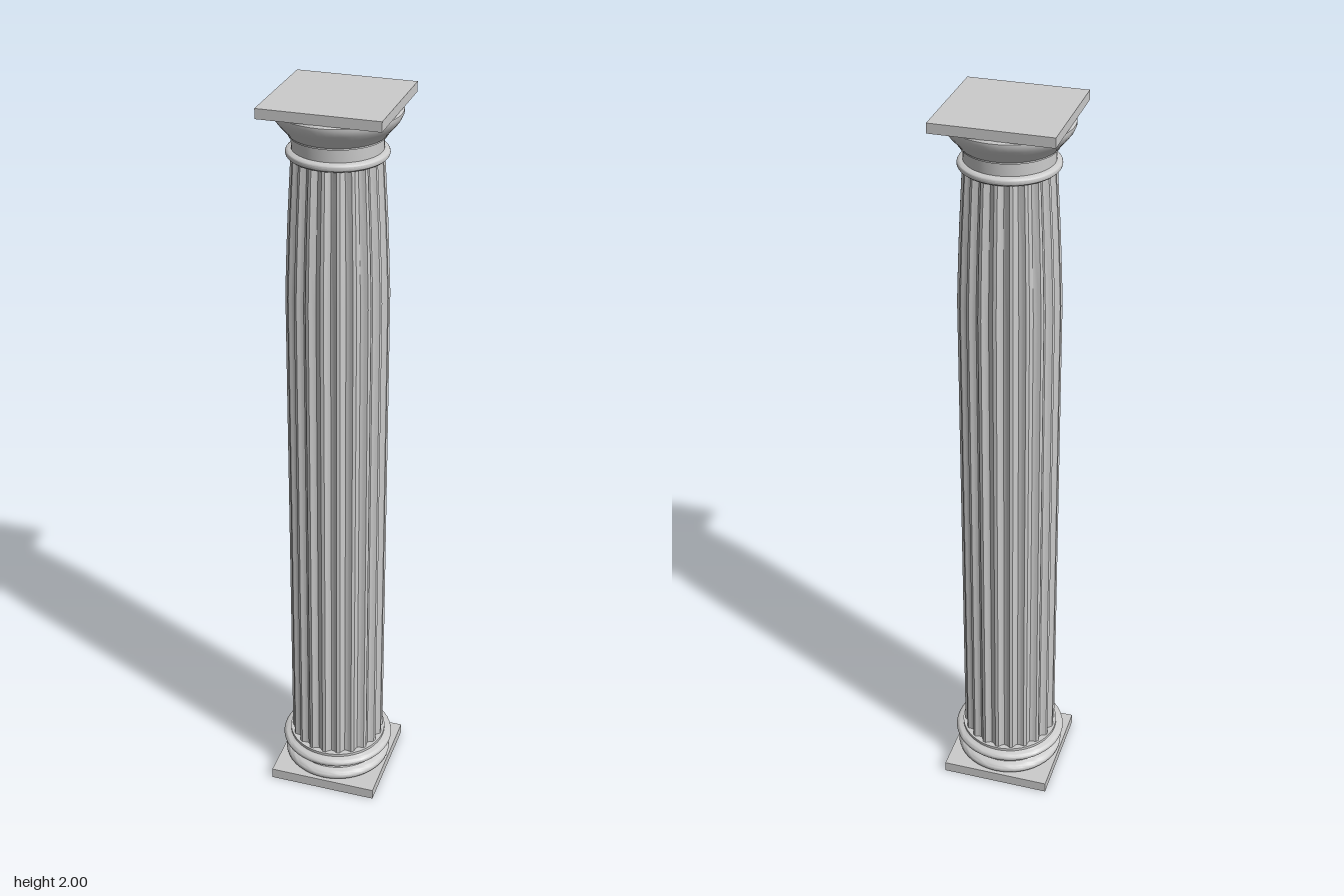
import * as THREE from 'three';
import { toCreasedNormals } from 'three/addons/utils/BufferGeometryUtils.js';

const material = new THREE.MeshStandardMaterial({ color: 0xcccccc });

function add(group, name, geometry, y = 0) {
  const mesh = new THREE.Mesh(geometry, material);
  mesh.name = name;
  mesh.position.y = y;
  group.add(mesh);
}

// Turned moulding from [radius, height] pairs, listed upwards
function turned(points) {
  const profile = points.map(([r, y]) => new THREE.Vector2(r, y));
  return toCreasedNormals(new THREE.LatheGeometry(profile, 48), 0.6);
}

// Half-round bead profile bulging from radius r to r + bulge
function bead(r, bulge, y0, y1, steps = 8) {
  return Array.from({ length: steps + 1 }, (_, i) => {
    const a = -Math.PI / 2 + (Math.PI * i) / steps;
    return [r + bulge * Math.cos(a), (y0 + y1) / 2 + ((y1 - y0) / 2) * Math.sin(a)];
  });
}

// Fluted shaft: grooved outline extruded upwards, then tapered near the top
function flutedShaft() {
  const flutes = 20, radius = 0.13, depth = 0.011, fillet = 0.22, arcSteps = 6;
  const outline = [];
  for (let i = 0; i < flutes; i++) {
    for (let j = 0; j <= arcSteps; j++) {
      const t = j / arcSteps;
      const a = ((i + fillet / 2 + t * (1 - fillet)) / flutes) * Math.PI * 2;
      const r = radius - depth * Math.sin(Math.PI * t);
      outline.push(new THREE.Vector2(r * Math.cos(a), r * Math.sin(a)));
    }
  }
  // [height, scale] of each section
  const sections = [[0.11, 1], [1.5, 1], [1.6, 0.97], [1.7, 0.935], [1.8, 0.89], [1.865, 0.86]];
  const steps = sections.length - 1;
  const geometry = new THREE.ExtrudeGeometry(new THREE.Shape(outline), {
    depth: steps, steps, bevelEnabled: false,
  });
  geometry.rotateX(-Math.PI / 2);
  const p = geometry.attributes.position;
  for (let i = 0; i < p.count; i++) {
    const [y, s] = sections[Math.round(p.getY(i))];
    p.setXYZ(i, p.getX(i) * s, y, p.getZ(i) * s);
  }
  return toCreasedNormals(geometry, 0.5);
}

export function createModel() {
  const column = new THREE.Group();
  column.name = 'column';

  // Square slabs at foot and head
  add(column, 'plinth', new THREE.BoxGeometry(0.302, 0.03, 0.302), 0.015);
  add(column, 'abacus', new THREE.BoxGeometry(0.302, 0.025, 0.302), 1.9875);

  // Base: lower roll, hollow, upper roll
  add(column, 'base', turned([
    [0, 0.03],
    ...bead(0.132, 0.018, 0.03, 0.06),
    [0.128, 0.062], [0.125, 0.07], [0.128, 0.08], [0.142, 0.082],
    ...bead(0.142, 0.014, 0.084, 0.108),
    [0.136, 0.11], [0.136, 0.118], [0, 0.118],
  ]));

  add(column, 'shaft', flutedShaft());

  // Capital: collar ring, neck and flaring cushion
  add(column, 'collar', turned([
    [0, 1.853], [0.117, 1.853], ...bead(0.117, 0.008, 1.855, 1.873), [0.11, 1.875], [0, 1.875],
  ]));
  add(column, 'neck', turned([
    [0.111, 1.87], [0.111, 1.905], [0.118, 1.907], [0.118, 1.916], [0, 1.916],
  ]));
  add(column, 'cushion', turned([
    [0, 1.912], [0.12, 1.912], [0.13, 1.925], [0.141, 1.937], [0.15, 1.949],
    [0.156, 1.962], [0.156, 1.97], [0.151, 1.976], [0, 1.976],
  ]));

  return column;
}
